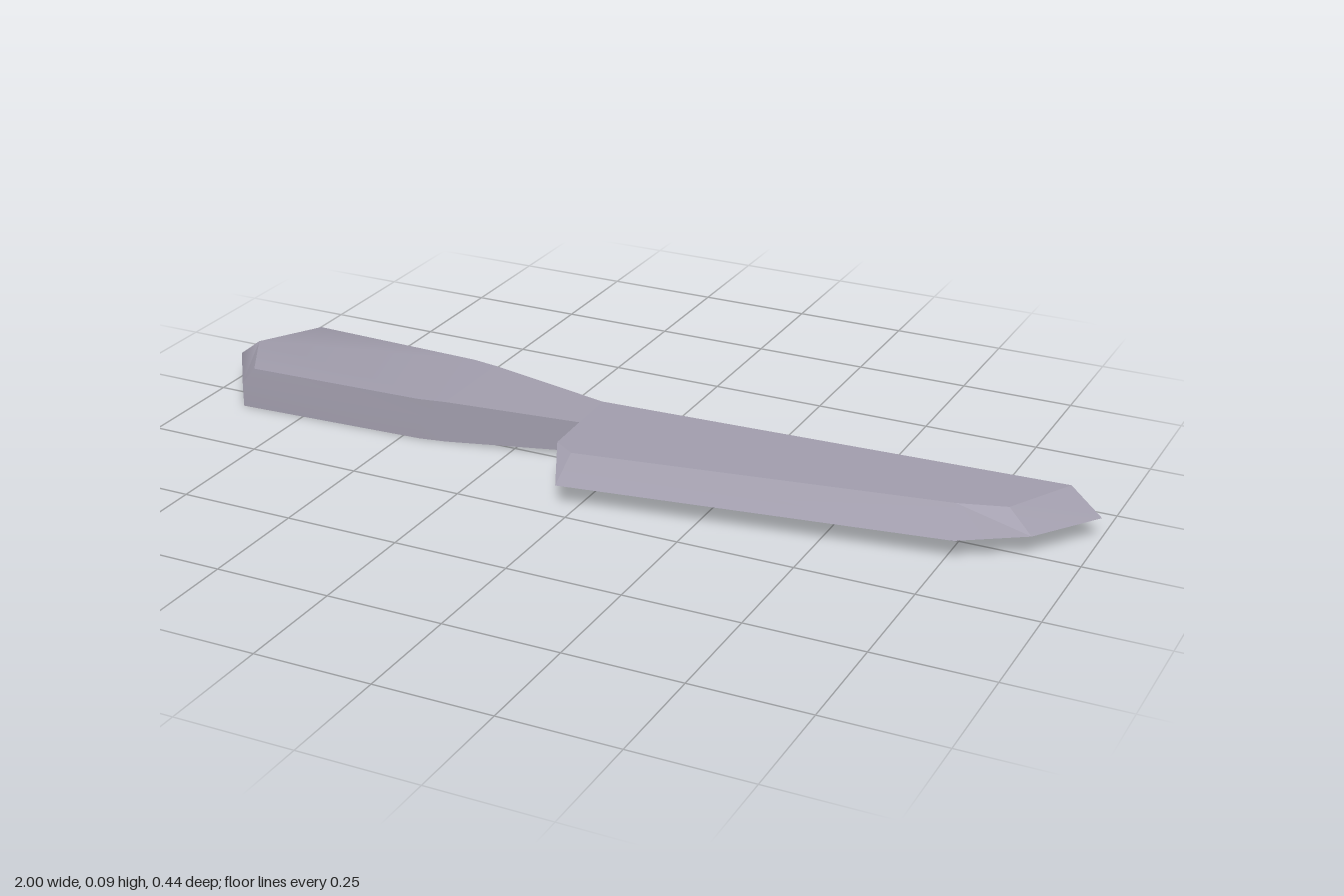
import * as THREE from 'three';
import { toCreasedNormals } from 'three/addons/utils/BufferGeometryUtils.js';

const steel = new THREE.MeshStandardMaterial({ color: 0xa09cab });
steel.name = 'grey steel';

// Closed solid from stacked loops of [x, y, z], bottom first, clockwise seen from above
function stackedSolid(name, loops, crease) {
  const positions = [];
  const face = (a, b, c) => {
    const [p, q, r] = [a, b, c].map((v) => new THREE.Vector3(...v));
    if (q.clone().sub(p).cross(r.clone().sub(p)).length() > 1e-7) positions.push(...a, ...b, ...c);
  };
  for (let k = 0; k < loops.length - 1; k++) {
    const low = loops[k], up = loops[k + 1], n = low.length;
    for (let i = 0; i < n; i++) {
      const j = (i + 1) % n;
      face(low[i], up[i], up[j]);
      face(low[i], up[j], low[j]);
    }
  }
  const cap = (loop, facesUp) => {
    const outline = loop.map(([x, , z]) => new THREE.Vector2(x, z));
    for (const [i, j, k] of THREE.ShapeUtils.triangulateShape(outline, [])) {
      const a = outline[i], b = outline[j], c = outline[k];
      const isUp = (b.x - a.x) * (c.y - a.y) - (b.y - a.y) * (c.x - a.x) < 0;
      if (isUp === facesUp) face(loop[i], loop[j], loop[k]);
      else face(loop[i], loop[k], loop[j]);
    }
  };
  cap(loops[0], false);
  cap(loops[loops.length - 1], true);
  const geometry = new THREE.BufferGeometry();
  geometry.setAttribute('position', new THREE.Float32BufferAttribute(positions, 3));
  const mesh = new THREE.Mesh(toCreasedNormals(geometry, crease), steel);
  mesh.name = name;
  return mesh;
}

const level = (points, y) => points.map(([x, z]) => [x, y, z]);

export function createModel() {
  const model = new THREE.Group();
  model.name = 'cleaver';

  // Grip: upright sides, with the upper edge of the butt bevelled
  const gripOutline = [[-1, -0.08], [-0.9, -0.22], [-0.46, -0.2], [-0.4, -0.19],
    [-0.4, 0.034], [-0.46, 0.045], [-0.9, 0.065]];
  const gripTop = gripOutline.map((p) => [...p]);
  gripTop[0] = [-0.95, -0.08];
  gripTop[1] = [-0.87, -0.215];
  gripTop[6] = [-0.87, 0.06];
  model.add(stackedSolid('grip',
    [level(gripOutline, 0), level(gripOutline, 0.055), level(gripTop, 0.093)], 0.9));

  // Neck: tapers from the grip to the blade thickness
  const neckOutline = [[-0.4, -0.19], [-0.11, -0.14], [-0.105, -0.02], [-0.4, 0.034]];
  const neckLoop = (wide, narrow) =>
    neckOutline.map(([x, z]) => [x, x < -0.3 ? wide : narrow, z]);
  model.add(stackedSolid('neck', [neckLoop(0, 0.014), neckLoop(0.093, 0.082)], 0.3));

  // Blade: flat cheeks bevelled to a central cutting edge
  const cheek = [[-0.11, -0.14], [0.92, -0.18], [0.92, -0.18], [0.84, -0.03],
    [0.74, 0], [-0.05, 0.125], [-0.1, 0.09], [-0.105, -0.02]];
  const edge = [[-0.11, -0.14], [0.92, -0.18], [1, -0.13], [0.9, 0.01],
    [0.77, 0.095], [-0.04, 0.215], [-0.1, 0.09], [-0.105, -0.02]];
  model.add(stackedSolid('blade',
    [level(cheek, 0.014), level(edge, 0.048), level(cheek, 0.082)], 0.2));

  return model;
}
